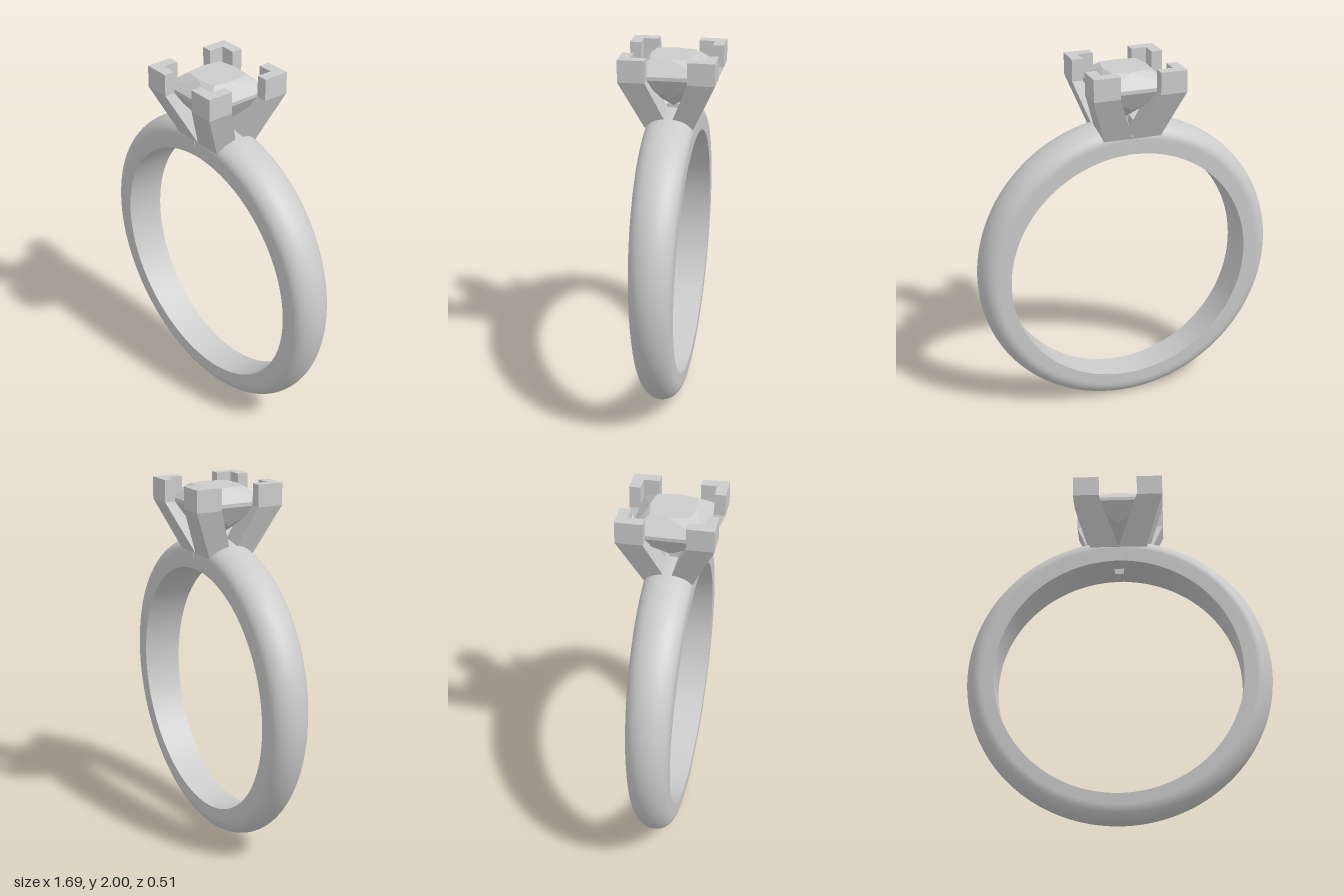
import * as THREE from 'three';
import { ConvexGeometry } from 'three/addons/geometries/ConvexGeometry.js';

const metal = new THREE.MeshStandardMaterial({ color: 0xcccccc });
const flat = new THREE.MeshStandardMaterial({ color: 0xcccccc, flatShading: true });
const GAP = 0.03; // half width of the opening under the stone

function add(parent, name, geometry, material = flat) {
  const mesh = new THREE.Mesh(geometry, material);
  mesh.name = name;
  parent.add(mesh);
  return mesh;
}

// Point on the band: a = angle from the top, rise = height over the bore, side = -1..1 of the width
function bandPoint(a, drop, side) {
  const s = Math.sin(a), c = Math.cos(a);
  const outer = [s * 0.845, 0.845 + c * 0.845];
  const inner = [s * 0.685, 0.835 + c * 0.685];
  const thick = Math.hypot(outer[0] - inner[0], outer[1] - inner[1]);
  const k = drop === null ? 1 : Math.min(1, drop / thick);
  const x = outer[0] + (inner[0] - outer[0]) * k;
  const y = outer[1] + (inner[1] - outer[1]) * k;
  return [x, y, side * (0.0875 + 0.0265 * y)];
}

// Sweep a profile of [drop from the outside, side] around the finger, leaving the gap at the top
function sweep(profile, steps = 160) {
  const pos = [], idx = [], n = profile.length;
  const a0 = GAP / 0.77;
  for (let i = 0; i <= steps; i++) {
    const a = a0 + (2 * Math.PI - 2 * a0) * i / steps;
    for (const [drop, side] of profile) pos.push(...bandPoint(a, drop, side));
  }
  for (let i = 0; i < steps; i++) {
    for (let j = 0; j < n - 1; j++) {
      const p = i * n + j, q = p + n;
      idx.push(p, q, p + 1, p + 1, q, q + 1);
    }
  }
  const g = new THREE.BufferGeometry();
  g.setAttribute('position', new THREE.Float32BufferAttribute(pos, 3));
  g.setIndex(idx);
  g.computeVertexNormals();
  return g;
}

// Flat wall closing the band at angle a
function endWall(profile, a) {
  const pts = profile.map(([drop, side]) => bandPoint(a, drop, side));
  const pos = [], idx = [];
  pts.forEach(p => pos.push(...p));
  for (let j = 1; j < pts.length - 1; j++) idx.push(0, j, j + 1);
  const g = new THREE.BufferGeometry();
  g.setAttribute('position', new THREE.Float32BufferAttribute(pos, 3));
  g.setIndex(idx);
  g.computeVertexNormals();
  return g;
}

function makeBand() {
  const band = new THREE.Group();
  band.name = 'band';
  const dome = 0.09, shell = [[null, -1]];
  for (let i = 0; i <= 20; i++) {
    const t = Math.PI * i / 20;
    shell.push([dome * (1 - Math.sin(t)), -Math.cos(t)]);
  }
  shell.push([null, 1]);
  const smooth = metal.clone();
  smooth.side = THREE.DoubleSide;
  // outward faces: run the outside from +z to -z, the bore the other way
  add(band, 'bandOutside', sweep([...shell].reverse()), smooth);
  add(band, 'bandBore', sweep([[null, -1], [null, 1]]), smooth);
  const a0 = GAP / 0.77;
  add(band, 'bandEndLeft', endWall(shell, a0), smooth);
  add(band, 'bandEndRight', endWall(shell, -a0), smooth);
  // bridges in front of and behind the small opening
  for (const s of [1, -1]) {
    const bridge = add(band, s > 0 ? 'frontBridge' : 'backBridge',
      new THREE.BoxGeometry(2 * GAP + 0.01, 0.1, 0.098));
    bridge.position.set(0, 1.571, s * 0.079);
  }
  return band;
}

function makeProngs() {
  const prongs = new THREE.Group();
  prongs.name = 'prongs';
  const base = [[0, 0.03], [0.03, 0], [0.16, 0], [0.16, 0.13], [0, 0.13]];
  const top = [[0.11, 0.11], [0.255, 0.11], [0.255, 0.255], [0.11, 0.255]];
  for (const sx of [1, -1]) {
    for (const sz of [1, -1]) {
      // slanted arm
      const at = y => ([x, z]) => new THREE.Vector3(sx * x, y, sz * z);
      add(prongs, 'prongArm', new ConvexGeometry([...base.map(at(1.61)), ...top.map(at(1.88))]));
      // L-shaped claw around the stone's corner
      const claw = new THREE.Shape([[0.11, 0.255], [0.11, 0.195], [0.195, 0.195],
        [0.195, 0.11], [0.255, 0.11], [0.255, 0.255]].map(([x, z]) => new THREE.Vector2(sx * x, sz * z)));
      const g = new THREE.ExtrudeGeometry(claw, { depth: 0.12, bevelEnabled: false });
      g.rotateX(-Math.PI / 2);
      g.translate(0, 1.88, 0);
      add(prongs, 'prongClaw', g);
    }
  }
  return prongs;
}

// Square cut stone: table, crown, girdle, ridged pavilion and point
function makeStone() {
  const pts = [new THREE.Vector3(0, 1.69, 0)];
  for (let i = 0; i < 4; i++) {
    const a = i * Math.PI / 2, corner = a + Math.PI / 4;
    const put = (ang, r, y) => pts.push(new THREE.Vector3(Math.cos(ang) * r, y, Math.sin(ang) * r));
    put(corner, 0.105 * Math.SQRT2, 1.975);
    put(a, 0.122, 1.975);
    put(corner, 0.195 * Math.SQRT2, 1.9);
    put(corner, 0.195 * Math.SQRT2, 1.88);
    put(a, 0.13, 1.77);
  }
  return new ConvexGeometry(pts);
}

export function createModel() {
  const ring = new THREE.Group();
  ring.name = 'ring';
  ring.add(makeBand(), makeProngs());
  add(ring, 'stone', makeStone());
  return ring;
}
